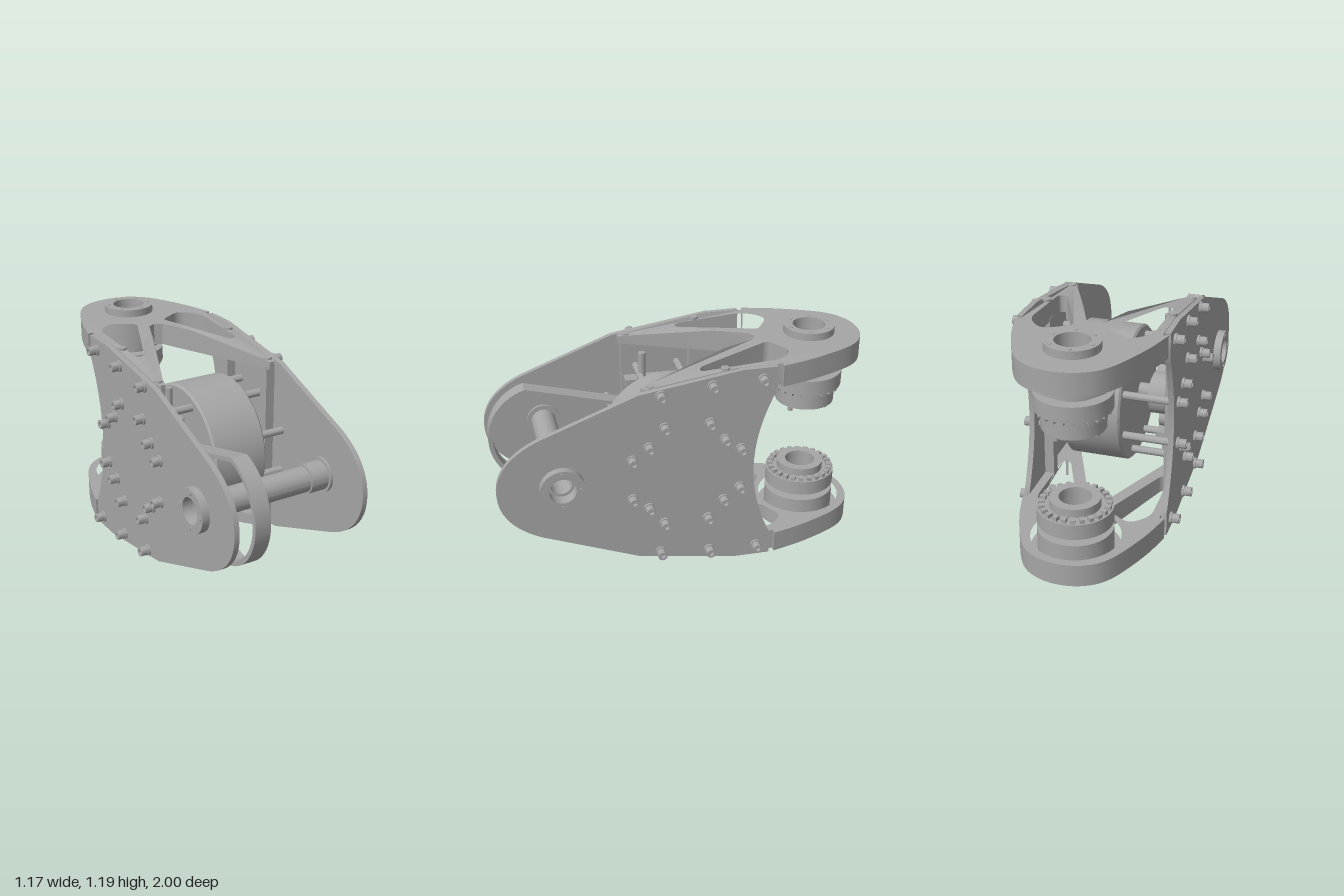
import * as THREE from 'three';
import { toCreasedNormals } from 'three/addons/utils/BufferGeometryUtils.js';

const V = (x, y) => new THREE.Vector2(x, y);
const MID = 0.595; // mirror height between the two arms
const HUB_Z = -0.785, DRUM_Z = -0.045, SHAFT_Z = 0.59;

// Closed outline with softened corners: points are [x, y, radius]
function roundedPath(pts, path = new THREE.Path()) {
  const n = pts.length;
  pts.forEach(([x, y, r = 0], i) => {
    const p = V(x, y);
    const a = V(...pts[(i + n - 1) % n].slice(0, 2)).sub(p).setLength(r).add(p);
    const b = V(...pts[(i + 1) % n].slice(0, 2)).sub(p).setLength(r).add(p);
    if (i === 0) path.moveTo(a.x, a.y); else path.lineTo(a.x, a.y);
    if (r > 0) path.quadraticCurveTo(p.x, p.y, b.x, b.y);
  });
  path.closePath();
  return path;
}

function circleHole(x, y, r) {
  const p = new THREE.Path();
  p.absarc(x, y, r, 0, Math.PI * 2, true);
  return p;
}

export function createModel() {
  const steel = new THREE.MeshStandardMaterial({ color: 0xa6a6a6 });
  steel.name = 'machined grey';
  const model = new THREE.Group();
  model.name = 'jointFrame';
  const body = new THREE.Group();
  body.name = 'body';
  body.rotation.y = THREE.MathUtils.degToRad(17);
  body.position.set(-0.051, 0, 0.0155);
  model.add(body);

  function add(name, geo, parent = body, crease = true) {
    const m = new THREE.Mesh(crease ? toCreasedNormals(geo, 0.5) : geo, steel);
    m.name = name;
    parent.add(m);
    return m;
  }
  // Turned ring from a closed profile: rectangles [rIn, rOut, y0, y1]
  const ring = (rIn, rOut, y0, y1, seg = 48) => new THREE.LatheGeometry(
    [V(rIn, y0), V(rOut, y0), V(rOut, y1), V(rIn, y1), V(rIn, y0)], seg);
  // Same ring turned so its axis runs along x
  const ringX = (rIn, rOut, x0, x1, y, z, seg) =>
    ring(rIn, rOut, x0, x1, seg).rotateZ(-Math.PI / 2).translate(0, y, z);
  const rodX = (r, x0, x1, y, z, seg = 16) => new THREE.CylinderGeometry(r, r, x1 - x0, seg)
    .rotateZ(Math.PI / 2).translate((x0 + x1) / 2, y, z);

  // Side plates: drop-shaped, with a hollowed rear edge and a shaft hole
  const side = new THREE.Shape();
  side.moveTo(-0.5, 0.045);
  side.lineTo(-0.32, 0.045);
  side.lineTo(0.2, 0.125);
  side.lineTo(0.69, 0.315);
  side.bezierCurveTo(0.83, 0.375, 0.912, 0.47, 0.912, MID);
  side.bezierCurveTo(0.912, 0.72, 0.83, 0.815, 0.69, 0.875);
  side.lineTo(0.2, 1.065);
  side.lineTo(-0.32, 1.145);
  side.lineTo(-0.5, 1.145);
  side.lineTo(-0.5, 1.02);
  side.quadraticCurveTo(-0.29, MID, -0.5, 0.17);
  side.closePath();
  side.holes.push(circleHole(SHAFT_Z, 0.6, 0.07));
  for (const x of [0.378, -0.35]) {
    add(x > 0 ? 'leftPlate' : 'rightPlate',
      new THREE.ExtrudeGeometry(side, { depth: 0.028, bevelEnabled: false, curveSegments: 20 })
        .rotateY(-Math.PI / 2).translate(x, 0, 0));
  }

  // Arms: rounded head and two braced legs; the outer face slopes towards the front
  const arm = new THREE.Shape();
  arm.moveTo(0.348, -0.53);
  arm.lineTo(0.375, -0.53);
  const head = [[0.32, -0.72], [0.225, -0.93], [0.125, -1.02], [0, -1.048],
    [-0.125, -1.02], [-0.225, -0.93], [-0.32, -0.72], [-0.375, -0.53]];
  arm.splineThru(head.map(p => V(...p)));
  const legs = [[-0.348, -0.53], [-0.348, -0.3], [-0.348, 0.15], [-0.33, 0.175], [-0.305, 0.175],
    [-0.29, 0.12], [-0.111, -0.3], [-0.04, -0.47], [0, -0.49]];
  legs.forEach(p => arm.lineTo(...p));
  legs.slice(0, -1).reverse().forEach(([x, z]) => arm.lineTo(-x, z));
  arm.holes.push(circleHole(0, HUB_Z, 0.222));
  for (const s of [1, -1]) {
    arm.holes.push(roundedPath([[s * 0.08, -0.535, 0.03], [s * 0.215, -0.62, 0.05],
      [s * 0.305, -0.53, 0.06], [s * 0.3, -0.13, 0.03], [s * 0.255, -0.13, 0.03]]));
  }
  const armGeo = new THREE.ExtrudeGeometry(arm, { depth: 0.115, bevelEnabled: false, curveSegments: 16 })
    .rotateX(Math.PI / 2).translate(0, 1.145 - MID, 0);
  const ap = armGeo.attributes.position;
  for (let i = 0; i < ap.count; i++) {
    if (ap.getY(i) > 0.54) ap.setY(i, ap.getY(i) - Math.max(0, ap.getZ(i) + 0.3) * 0.154);
  }
  for (const top of [true, false]) {
    const g = new THREE.Group();
    g.name = top ? 'upperArm' : 'lowerArm';
    g.position.y = MID;
    if (!top) g.rotation.z = Math.PI;
    body.add(g);
    add('armFrame', armGeo, g);
    const hub = new THREE.Group();
    hub.name = 'hub';
    hub.position.z = HUB_Z;
    g.add(hub);
    add('pocketFloor', ring(0.085, 0.223, 0.5, 0.55), hub);
    add('outerFlange', ring(0.085, 0.133, 0.55, 0.59), hub);
    add('bearingSeat', ring(0.085, 0.187, 0.38, 0.5), hub);
    add('neck', ring(0.085, 0.13, 0.34, 0.38), hub);
    add('bearingRing', ring(0.085, 0.187, 0.265, 0.345), hub);
    // Ring of small fasteners on the outer flange and teeth round the bearing
    for (let i = 0; i < 6; i++) {
      const a = i * Math.PI / 3 + 0.3;
      add('flangeScrew', new THREE.CylinderGeometry(0.01, 0.01, 0.006, 10)
        .translate(0.11 * Math.cos(a), 0.59, 0.11 * Math.sin(a)), hub);
    }
    for (let i = 0; i < 24; i++) {
      add('bearingTooth', new THREE.BoxGeometry(0.03, 0.022, 0.024)
        .translate(0.163, 0.256, 0).rotateY(i * Math.PI / 12), hub, false);
    }
    if (top) {
      add('driveRing', ring(0.07, 0.155, 0.165, 0.265), hub);
      for (let i = 0; i < 6; i++) {
        const a = i * Math.PI / 3;
        add('drivePin', new THREE.CylinderGeometry(0.014, 0.014, i % 2 ? 0.045 : 0.02, 12)
          .translate(0.11 * Math.cos(a), i % 2 ? 0.145 : 0.157, 0.11 * Math.sin(a)), hub);
      }
    } else {
      add('innerRace', ring(0.08, 0.125, 0.22, 0.27), hub);
    }
    // Tensioner hanging from each arm beside the drum
    add('tensionerScrew', new THREE.CylinderGeometry(0.02, 0.02, 0.2, 16)
      .translate((top ? -1 : 1) * 0.225, 0.31, 0.06), g);
    add('tensionerBlock', new THREE.BoxGeometry(0.07, 0.04, 0.19)
      .translate((top ? -1 : 1) * 0.225, 0.25, 0.06), g, false);
    add('tensionerRoller', rodX(0.05, -0.04, 0.04, 0.18, 0.06, 24)
      .translate((top ? -1 : 1) * 0.235, 0, 0), g);
  }

  // Upright posts joining the two arms
  for (const s of [1, -1]) for (const z of [0.13, -0.245]) {
    add('post', new THREE.BoxGeometry(0.05, 0.9, 0.055).translate(s * 0.324, MID, z), body, false);
    for (const e of [1, -1]) {
      add('postScrew', new THREE.CylinderGeometry(0.022, 0.022, 0.012, 16)
        .translate(s * 0.322, MID + e * (0.55 - (z + 0.3) * 0.154), z));
    }
  }

  // Drum with chamfered rims and a gear face
  add('drum', new THREE.LatheGeometry([V(0, -0.1), V(0.345, -0.1), V(0.355, -0.09),
    V(0.355, 0.195), V(0.345, 0.205), V(0, 0.205)], 72).rotateZ(-Math.PI / 2).translate(0, MID, DRUM_Z));
  add('drumHub', rodX(0.12, 0.2, 0.25, MID, DRUM_Z, 32));
  for (let i = 0; i < 12; i++) {
    const a = i * Math.PI / 6;
    add('hubBolt', rodX(0.016, 0.24, 0.27, MID + 0.095 * Math.sin(a), DRUM_Z + 0.095 * Math.cos(a), 10));
  }

  // Screw heads on both plates, and the long rods through the drum
  function screw(s, y, z) {
    const g = new THREE.Group();
    g.name = 'plateScrew';
    g.position.set(s * 0.378, y, z);
    g.rotation.z = -s * Math.PI / 2;
    body.add(g);
    add('washer', new THREE.CylinderGeometry(0.03, 0.03, 0.012, 20).translate(0, 0.006, 0), g);
    add('head', new THREE.LatheGeometry([V(0.024, 0.01), V(0.024, 0.05), V(0.013, 0.05),
      V(0.013, 0.03), V(0, 0.03)], 18), g);
  }
  const drumScrews = [[0.115, 0.278], [0.195, 0.177], [0.28, 0.113]];
  const edgeScrews = [[0.09, 0.455], [-0.17, 0.48], [-0.425, 0.49]];
  for (const v of [1, -1]) {
    for (const s of [1, -1]) {
      edgeScrews.forEach(([z, y]) => screw(s, MID + v * y, z));
      for (const h of [1, -1]) drumScrews.forEach(([z, y]) => screw(s, MID + v * y, DRUM_Z + h * z));
    }
    for (const h of [1, -1]) drumScrews.forEach(([z, y], i) => {
      if (i !== 1) add('tieRod', rodX(0.02, -0.35, 0.35, MID + v * y, DRUM_Z + h * z));
    });
  }

  // Hollow cross shaft with collars and flanged bearings
  add('shaft', ringX(0.055, 0.066, -0.34, 0.34, 0.6, SHAFT_Z));
  add('shaftCollar', ringX(0.055, 0.076, 0.235, 0.35, 0.6, SHAFT_Z));
  for (const s of [1, -1]) {
    add('shaftFlange', ringX(0.068, 0.113, s > 0 ? 0.378 : -0.418, s > 0 ? 0.418 : -0.378, 0.6, SHAFT_Z));
    add('innerFlange', ringX(0.055, 0.09, s > 0 ? 0.335 : -0.35, s > 0 ? 0.35 : -0.335, 0.6, SHAFT_Z));
    for (let i = 0; i < 4; i++) {
      const a = i * Math.PI / 2;
      add('flangeScrew', rodX(0.011, s * 0.418 - 0.004, s * 0.418 + 0.004,
        0.6 + 0.092 * Math.sin(a), SHAFT_Z + 0.092 * Math.cos(a), 10));
    }
  }

  // Belt: a band wrapped round a large front circle and a small rear pulley
  const bandPath = (r1, r2, path) => {
    const z1 = 0.61, z2 = -0.02, a = Math.acos((r1 - r2) / (z1 - z2));
    path.absarc(z1, MID, r1, -a, a, false);
    path.absarc(z2, MID, r2, a, Math.PI * 2 - a, false);
    path.closePath();
    return path;
  };
  const belt = bandPath(0.295, 0.11, new THREE.Shape());
  belt.holes.push(bandPath(0.272, 0.087, new THREE.Path()));
  add('belt', new THREE.ExtrudeGeometry(belt, { depth: 0.085, bevelEnabled: false, curveSegments: 40 })
    .rotateY(-Math.PI / 2).translate(-0.175, 0, 0));
  add('beltPulley', rodX(0.087, -0.27, -0.165, MID, -0.02, 32));
  add('pulleyAxle', rodX(0.04, -0.35, -0.09, MID, -0.02, 20));

  return model;
}
